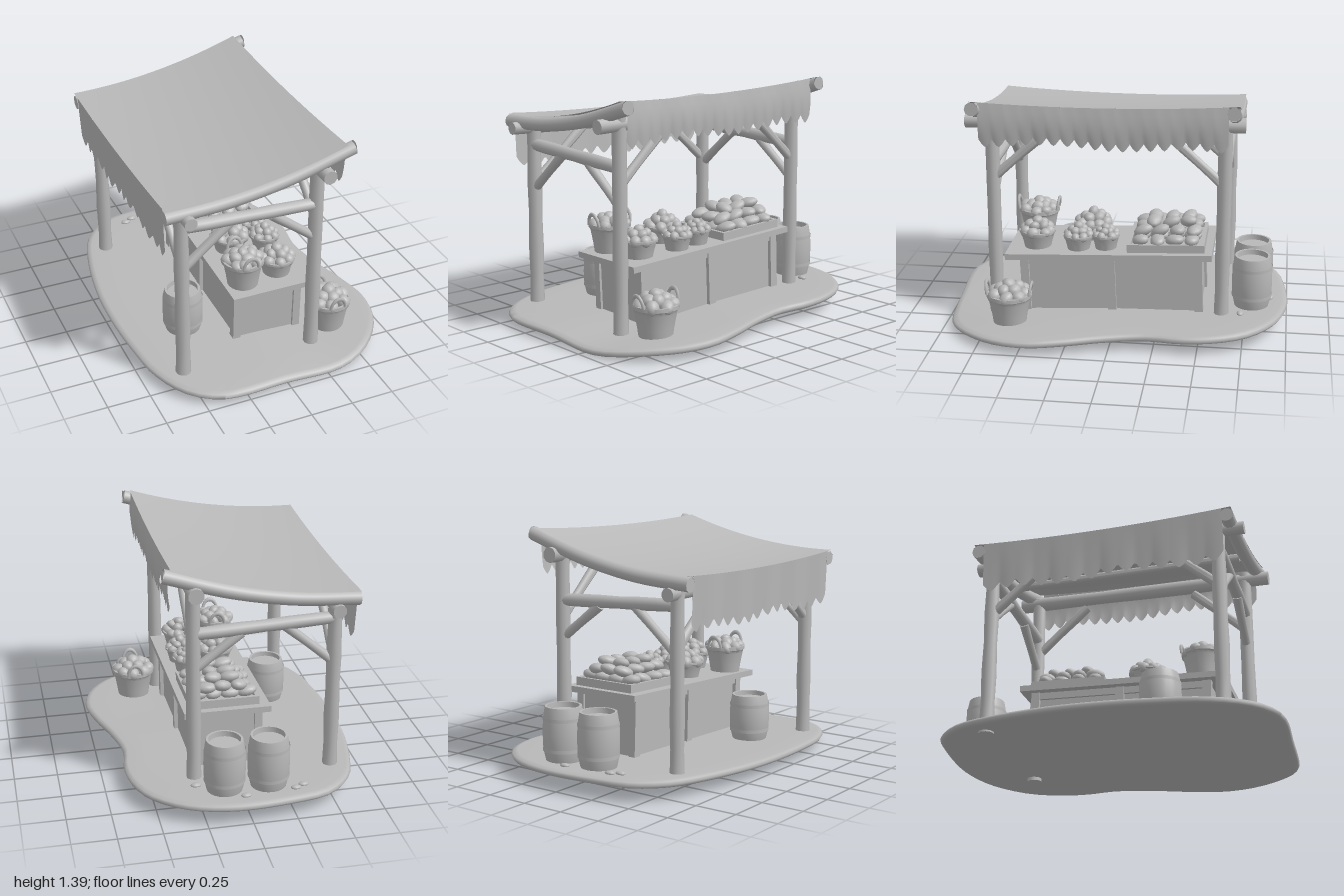
import * as THREE from 'three';
import { toCreasedNormals } from 'three/addons/utils/BufferGeometryUtils.js';

export function createModel() {
  const model = new THREE.Group();
  const grey = new THREE.MeshStandardMaterial({ color: 0xb8b8b8, side: THREE.DoubleSide });
  grey.name = 'plain grey';
  let seed = 7;
  const rand = () => (seed = (seed * 16807) % 2147483647) / 2147483647;
  const V = (x, y, z) => new THREE.Vector3(x, y, z);

  function add(name, geo, parent = model, x = 0, y = 0, z = 0) {
    const m = new THREE.Mesh(geo, grey);
    m.name = name;
    m.position.set(x, y, z);
    parent.add(m);
    return m;
  }
  function group(name, x = 0, y = 0, z = 0, parent = model) {
    const g = new THREE.Group();
    g.name = name;
    g.position.set(x, y, z);
    parent.add(g);
    return g;
  }
  // Slightly uneven log between two points
  function log(name, a, b, r, rEnd = r) {
    const len = a.distanceTo(b);
    const geo = new THREE.CylinderGeometry(rEnd, r, len, 10, 6);
    const p = geo.attributes.position;
    for (let i = 0; i < p.count; i++) {
      const k = 1 + 0.06 * Math.sin(p.getY(i) * 17 + a.x * 9 + a.z * 5);
      p.setX(i, p.getX(i) * k);
      p.setZ(i, p.getZ(i) * k);
    }
    const m = add(name, toCreasedNormals(geo, 0.9));
    m.position.copy(a).lerp(b, 0.5);
    m.quaternion.setFromUnitVectors(V(0, 1, 0), b.clone().sub(a).normalize());
    return m;
  }
  // Cloth sheet from a rule on u, v in 0..1
  function sheet(name, nu, nv, rule) {
    const geo = new THREE.PlaneGeometry(1, 1, nu, nv);
    const p = geo.attributes.position;
    for (let i = 0; i < p.count; i++) p.setXYZ(i, ...rule(p.getX(i) + 0.5, 0.5 - p.getY(i)));
    geo.computeVertexNormals();
    return add(name, geo);
  }

  // Ground slab: rings swept around a curved outline
  const groundY = (x, z) => 0.1 - 0.025 * z - 0.03 * Math.max(0, z) * Math.exp(-(((x - 0.3) / 0.25) ** 2));
  const outline = new THREE.CatmullRomCurve3([
    [-0.4, 0.99], [0, 0.99], [0.38, 0.96], [0.55, 0.87], [0.7, 0.68], [0.75, 0.47], [0.71, 0.25], [0.65, 0.05],
    [0.605, -0.2], [0.63, -0.42], [0.61, -0.6], [0.53, -0.78], [0.35, -0.93], [0.1, -1], [-0.25, -0.98],
    [-0.45, -0.93], [-0.6, -0.78], [-0.68, -0.55], [-0.74, -0.2], [-0.75, 0.1], [-0.73, 0.4], [-0.69, 0.65], [-0.58, 0.87],
  ].map(([x, z]) => V(x, 0, z)), true).getSpacedPoints(80);
  const rings = [[0, 0], [0.4, 0], [0.8, 0], [0.96, 0], [0.99, -0.008], [1, -0.023], [0.99, -0.038], [0.97, -0.045], [0.6, -0.045], [0, -0.045]];
  const pos = [], idx = [], n = outline.length;
  rings.forEach(([s, dy], r) => outline.forEach((q, i) => {
    pos.push(q.x * s, groundY(q.x * s, q.z * s) + dy, q.z * s);
    if (r && i < n - 1) {
      const a = (r - 1) * n + i, b = r * n + i;
      idx.push(a, b, a + 1, a + 1, b, b + 1);
    }
  }));
  const slab = new THREE.BufferGeometry();
  slab.setAttribute('position', new THREE.Float32BufferAttribute(pos, 3));
  slab.setIndex(idx);
  slab.computeVertexNormals();
  add('ground', slab);

  // Roof height: curved slope with a sag between front and back
  const roofY = (x, z) => {
    const t = Math.max(0, (x + 0.65) / 1.03);
    return 1.19 + 0.178 * t * t - 0.018 * z * t - 0.025 * (1 - (z / 0.78) ** 2);
  };

  // Frame: posts, tie beams and braces at both ends
  const L = -0.535, R = 0.26;
  for (const [end, z, s] of [['front', 0.71, 1], ['back', -0.62, -1]]) {
    log(end + 'RightPost', V(L, 0.06, z), V(L, 1.16, z), 0.042, 0.04);
    log(end + 'LeftPost', V(R, 0.05, z), V(R, 1.27, z), 0.042, 0.04);
    log(end + 'TieBeam', V(L, 1.025, z), V(R, 0.99, z), 0.036);
    log(end + 'BraceA', V(-0.51, 0.78, z), V(-0.25, 1.0, z), 0.027);
    log(end + 'BraceB', V(0.24, 0.79, z), V(-0.01, 0.98, z), 0.027);
    log('lowSideBrace', V(L, 0.81, z - s * 0.02), V(L, 1.1, z - s * 0.36), 0.027);
    log('highSideBrace', V(R, 0.91, z - s * 0.02), V(R, 1.18, z - s * 0.32), 0.027);
    // Curved beam under the cloth edge
    const bz = end === 'front' ? 0.785 : -0.67;
    const pts = [-0.655, -0.3, 0.05, 0.43].map((x) => V(x, roofY(x, bz) - 0.034, bz));
    const curve = new THREE.CatmullRomCurve3(pts);
    add(end + 'RoofBeam', new THREE.TubeGeometry(curve, 16, 0.04, 10));
    for (const [p, d] of [[pts[0], -1], [pts[3], 1]]) {
      const cap = add('beamEnd', new THREE.CircleGeometry(0.04, 10), model, p.x, p.y, p.z);
      cap.rotation.y = d * Math.PI / 2;
    }
  }
  log('rightLongBeam', V(L, 1.13, 0.86), V(L, 1.09, -0.71), 0.038);
  log('leftLongBeam', V(R, 1.225, 0.86), V(R, 1.25, -0.73), 0.042);
  log('middleRafter', V(-0.1, 1.19, 0.75), V(-0.1, 1.19, -0.64), 0.025);

  // Canopy and its jagged hanging edges
  sheet('canopy', 24, 24, (u, v) => {
    const x = -0.655 + 1.04 * u, z = -0.7 + 1.51 * v;
    return [x, roofY(x, z) + 0.012, z];
  });
  const tooth = (u, k) => Math.abs(((u * k) % 1) * 2 - 1) ** 1.4;
  sheet('leftValance', 108, 5, (u, v) => {
    const z = -0.64 + 1.4 * u, top = roofY(0.385, z) + 0.012;
    const low = 1.12 + 0.045 * tooth(u, 18) + 0.012 * Math.sin(u * 11);
    return [0.385 + 0.012 * Math.sin(v * 3) + 0.004 * Math.sin(u * 30) * v, top + (low - top) * v, z];
  });
  sheet('rightValance', 108, 5, (u, v) => {
    const z = -0.64 + 1.4 * u, top = roofY(-0.655, z) + 0.012;
    const low = 0.885 + 0.05 * tooth(u, 14) + 0.012 * Math.sin(u * 13);
    return [-0.655 + 0.015 * v + 0.005 * Math.sin(u * 30) * v, top + (low - top) * v, z];
  });

  // Counter, tilted a little with the ground
  const counter = group('counter', 0.05, 0.44, 0.045);
  counter.rotation.x = 0.04;
  add('counterTop', new THREE.BoxGeometry(0.5, 0.035, 1.21), counter);
  add('counterBody', new THREE.BoxGeometry(0.38, 0.36, 1.04), counter, 0, -0.185, -0.01);
  for (const sx of [-1, 1]) {
    for (const z of [-0.52, -0.01, 0.5])
      add('counterUpright', new THREE.BoxGeometry(0.045, 0.36, 0.05), counter, sx * 0.19, -0.185, z);
    add('counterRail', new THREE.BoxGeometry(0.03, 0.045, 1.06), counter, sx * 0.19, -0.035, -0.01);
  }
  const topY = (z) => 0.457 - 0.041 * z;

  // Barrels with a recessed lid
  for (const [x, z, h] of [[-0.385, 0.33, 0.27], [-0.13, -0.79, 0.31], [0.12, -0.79, 0.31]]) {
    const prof = [[0, 0], [0.1, 0], [0.104, 0.05], [0.115, 0.22], [0.118, 0.5], [0.115, 0.78], [0.106, 0.95], [0.103, 1], [0.09, 1], [0.088, 0.9], [0, 0.9]];
    const geo = new THREE.LatheGeometry(prof.map(([r, t]) => new THREE.Vector2(r, t * h)), 24);
    const barrel = group('barrel', x, groundY(x, z), z);
    add('barrelBody', toCreasedNormals(geo, 0.7), barrel);
    for (const t of [0.22, 0.78])
      add('barrelHoop', new THREE.CylinderGeometry(0.117, 0.117, 0.02, 24, 1, true), barrel, 0, t * h, 0);
  }

  // Heap of fruit, layered toward the middle
  function heap(parent, radius, y, rise, size) {
    for (const [k, count, h] of [[0.72, 8, 0], [0.4, 5, 0.55], [0, 1, 1]])
      for (let i = 0; i < count; i++) {
        const a = (i + rand() * 0.4) / count * Math.PI * 2;
        const f = add('fruit', new THREE.SphereGeometry(size, 12, 8), parent,
          Math.cos(a) * radius * k, y + rise * h, Math.sin(a) * radius * k);
        f.scale.set(1 + rand() * 0.2, 0.8 + rand() * 0.3, 1);
        f.rotation.set(rand(), rand() * 3, rand());
      }
  }
  // Flared basket with optional handles
  function basket(x, y, z, r, h, handles, rise) {
    const g = group('basket', x, y, z);
    const prof = [[0, 0], [r * 0.72, 0], [r * 0.78, h * 0.3], [r * 0.9, h * 0.75], [r * 0.94, h * 0.85], [r, h * 0.88], [r, h], [r * 0.9, h], [r * 0.86, h * 0.8], [0, h * 0.8]];
    const geo = new THREE.LatheGeometry(prof.map((p) => new THREE.Vector2(...p)), 22);
    add('basketBody', toCreasedNormals(geo, 0.7), g);
    heap(g, r, h * 0.97, rise, r * 0.3);
    if (handles) for (const s of [-1, 1]) {
      const handle = add('basketHandle', new THREE.TorusGeometry(0.045, 0.009, 6, 12, Math.PI), g, 0, h * 0.98, s * r * 0.93);
      handle.scale.y = 1.5;
      handle.rotation.x = s * 0.15;
    }
  }
  basket(0.425, groundY(0.425, 0.6) - 0.01, 0.6, 0.132, 0.19, true, 0.05);
  basket(-0.085, topY(0.51) - 0.005, 0.51, 0.122, 0.17, true, 0.035);
  basket(0.14, topY(0.48) - 0.005, 0.48, 0.108, 0.11, false, 0.055);
  basket(0.18, topY(0.23), 0.23, 0.09, 0.09, false, 0.05);
  basket(0.17, topY(0.07), 0.07, 0.085, 0.09, false, 0.04);
  basket(-0.02, topY(0.17), 0.17, 0.115, 0.1, false, 0.06);

  // Shallow tray piled with long loaves
  const tray = group('tray', 0.06, topY(-0.29), -0.29);
  tray.rotation.x = 0.04;
  add('trayBase', new THREE.BoxGeometry(0.38, 0.025, 0.43), tray, 0, 0.012, 0);
  for (const s of [-1, 1]) {
    add('trayEnd', new THREE.BoxGeometry(0.4, 0.05, 0.02), tray, 0, 0.025, s * 0.215);
    add('traySide', new THREE.BoxGeometry(0.02, 0.05, 0.43), tray, s * 0.19, 0.025, 0);
  }
  for (const [rows, cols, y] of [[4, 4, 0.055], [3, 4, 0.1], [2, 3, 0.14]])
    for (let i = 0; i < rows; i++)
      for (let j = 0; j < cols; j++) {
        const loaf = add('loaf', new THREE.SphereGeometry(0.04, 12, 8), tray,
          (i - (rows - 1) / 2) * 0.095, y + rand() * 0.01, (j - (cols - 1) / 2) * 0.1 - (y - 0.055) * 0.3);
        loaf.scale.set(1.5, 0.8, 1.1);
        loaf.rotation.set(rand() * 0.4, rand() * 2 - 0.5, rand() * 0.5 - 0.25);
      }

  // Small stones on the ground by the barrels
  for (const [x, z] of [[-0.32, -0.84], [-0.27, -0.87], [0.02, -0.9], [0.27, -0.73]]) {
    const stone = add('stone', new THREE.IcosahedronGeometry(0.022, 1), model, x, groundY(x, z) + 0.004, z);
    stone.scale.set(1.4, 0.6, 0.9);
  }
  return model;
}
